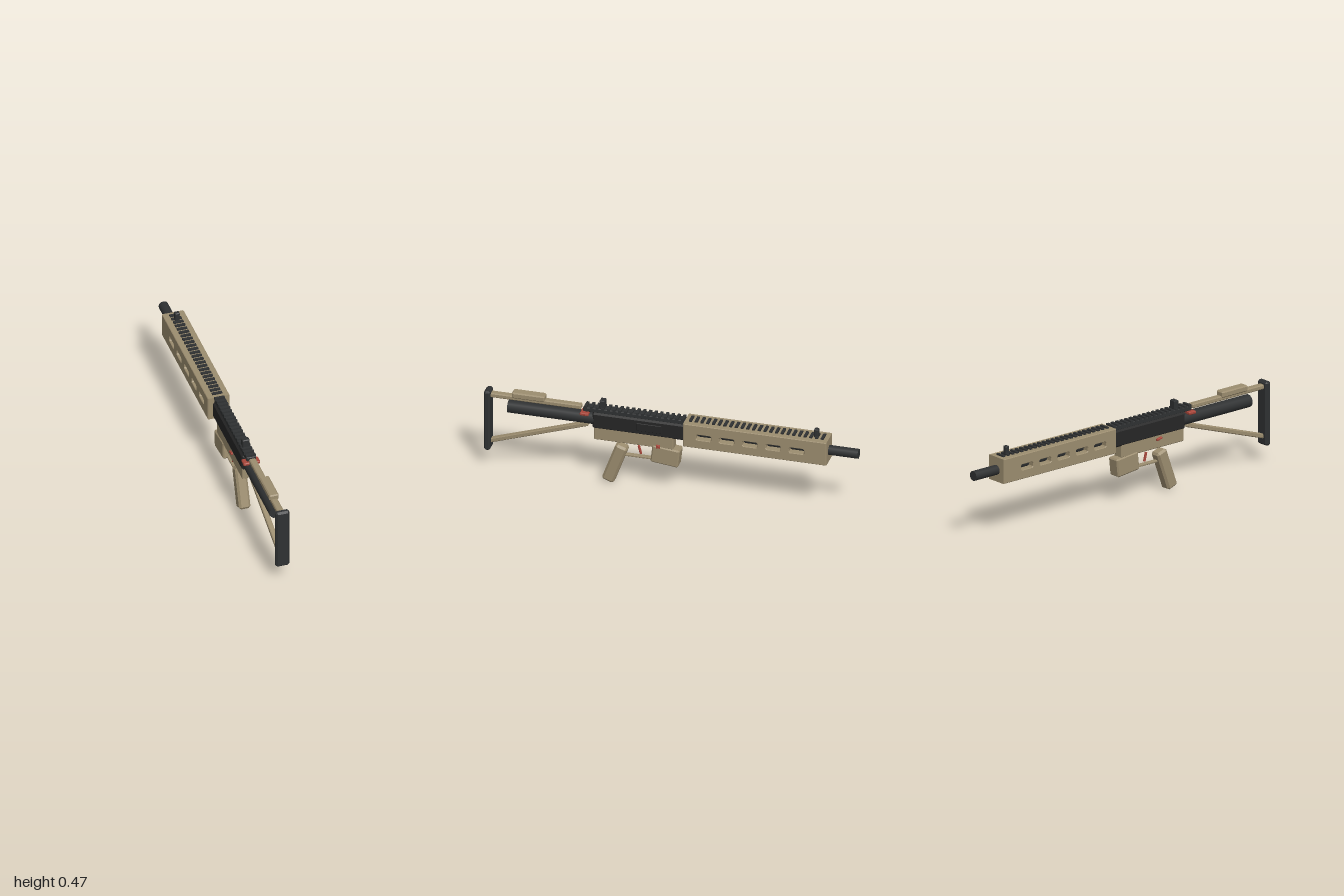
import * as THREE from 'three';
import { ConvexGeometry } from 'three/addons/geometries/ConvexGeometry.js';

const flat = (name, color) => {
  const m = new THREE.MeshStandardMaterial({ color });
  m.name = name;
  return m;
};

export function createModel() {
  const group = new THREE.Group();
  group.name = 'longToy';
  const tan = flat('tan', 0x9c8d6f);
  const black = flat('black', 0x2f3132);
  const dark = flat('dark', 0x262626);
  const red = flat('red', 0xa8463a);

  const add = (name, geometry, material, x, y, z, tilt = 0) => {
    const mesh = new THREE.Mesh(geometry, material);
    mesh.name = name;
    mesh.position.set(x, y, z);
    mesh.rotation.x = tilt;
    group.add(mesh);
    return mesh;
  };

  // Box with every edge cut at 45 degrees
  const chamfered = (w, h, d, c) => {
    const pts = [];
    for (const x of [-1, 1]) for (const y of [-1, 1]) for (const z of [-1, 1]) {
      const [a, b, e] = [w / 2, h / 2, d / 2];
      pts.push(new THREE.Vector3(x * a, y * (b - c), z * (e - c)));
      pts.push(new THREE.Vector3(x * (a - c), y * b, z * (e - c)));
      pts.push(new THREE.Vector3(x * (a - c), y * (b - c), z * e));
    }
    return new ConvexGeometry(pts);
  };
  const block = (name, mat, w, h, d, c, x, y, z, tilt) =>
    add(name, chamfered(w, h, d, c), mat, x, y, z, tilt);

  // Round parts along z
  const rod = (name, mat, r, z0, z1, y) => {
    const g = new THREE.CylinderGeometry(r, r, z1 - z0, 16);
    g.rotateX(Math.PI / 2);
    add(name, g, mat, 0, y, (z0 + z1) / 2);
  };
  rod('barrel', black, 0.026, -1, 0, 0.361);
  rod('bufferTube', black, 0.034, 0.4, 0.875, 0.362);

  // Handguard: side outline with slots, extruded across x
  const side = new THREE.Shape();
  side.moveTo(-0.842, 0.297);
  side.lineTo(-0.075, 0.297);
  side.lineTo(-0.075, 0.43);
  side.lineTo(-0.842, 0.43);
  side.closePath();
  for (let i = 0; i < 5; i++) {
    const z = -0.184 - i * 0.1245, w = 0.04, h = 0.015, k = 0.006, y = 0.361;
    const slot = new THREE.Path();
    slot.moveTo(z - w + k, y - h);
    slot.lineTo(z - w, y - h + k);
    slot.lineTo(z - w, y + h - k);
    slot.lineTo(z - w + k, y + h);
    slot.lineTo(z + w - k, y + h);
    slot.lineTo(z + w, y + h - k);
    slot.lineTo(z + w, y - h + k);
    slot.lineTo(z + w - k, y - h);
    slot.closePath();
    side.holes.push(slot);
  }
  const bevel = 0.003;
  const guard = new THREE.ExtrudeGeometry(side, {
    depth: 0.118 - 2 * bevel, bevelSize: bevel, bevelThickness: bevel,
    bevelOffset: -bevel, bevelSegments: 1,
  });
  guard.translate(0, 0, -(0.118 / 2 - bevel));
  guard.rotateY(-Math.PI / 2);
  add('handguard', guard, tan, 0, 0, 0);

  // Receiver
  block('upperReceiver', dark, 0.068, 0.092, 0.495, 0.009, 0, 0.361, 0.1725);
  block('lowerReceiver', tan, 0.06, 0.08, 0.425, 0.004, 0, 0.291, 0.1975);
  block('sidePort', dark, 0.008, 0.044, 0.135, 0.002, 0.034, 0.362, 0.115);

  // Top rail and its teeth
  block('railBase', black, 0.05, 0.024, 0.545, 0.003, 0, 0.417, 0.1975);
  const tooth = new THREE.BoxGeometry(0.054, 0.014, 0.015);
  for (let i = 0; i < 18; i++) add('railTooth', tooth, black, 0, 0.431, 0.456 - i * 0.0305);
  for (let i = 0; i < 24; i++) add('guardTooth', tooth, black, 0, 0.431, -0.105 - i * 0.0307);

  // Sights
  block('rearSight', black, 0.04, 0.05, 0.028, 0.004, 0, 0.452, 0.37);
  block('frontSight', black, 0.026, 0.05, 0.024, 0.004, 0, 0.452, -0.775);

  // Grip, front block and guard
  block('grip', tan, 0.062, 0.227, 0.067, 0.011, 0, 0.1195, 0.302, -0.35);
  block('frontBlock', tan, 0.07, 0.1, 0.148, 0.007, 0, 0.207, 0.029, -0.11);
  block('triggerGuard', tan, 0.024, 0.011, 0.15, 0.002, 0, 0.172, 0.172);
  block('trigger', red, 0.012, 0.05, 0.011, 0.002, 0, 0.21, 0.172, 0.26);

  // Red controls
  block('chargingHandle', red, 0.09, 0.017, 0.046, 0.004, 0, 0.396, 0.46);
  block('releaseButton', red, 0.012, 0.019, 0.022, 0.003, 0.036, 0.262, 0.065);
  block('selector', red, 0.014, 0.011, 0.036, 0.002, -0.034, 0.302, 0.238, -0.2);

  // Skeleton stock
  block('stockTopBar', tan, 0.036, 0.025, 0.495, 0.005, 0, 0.42, 0.73);
  block('stockLowerBar', tan, 0.028, 0.024, 0.555, 0.004, 0, 0.2375, 0.71, 0.325);
  block('cheekRest', tan, 0.052, 0.033, 0.175, 0.006, 0, 0.44, 0.765);
  block('buttPlate', black, 0.075, 0.348, 0.034, 0.01, 0, 0.275, 0.983);

  return group;
}
